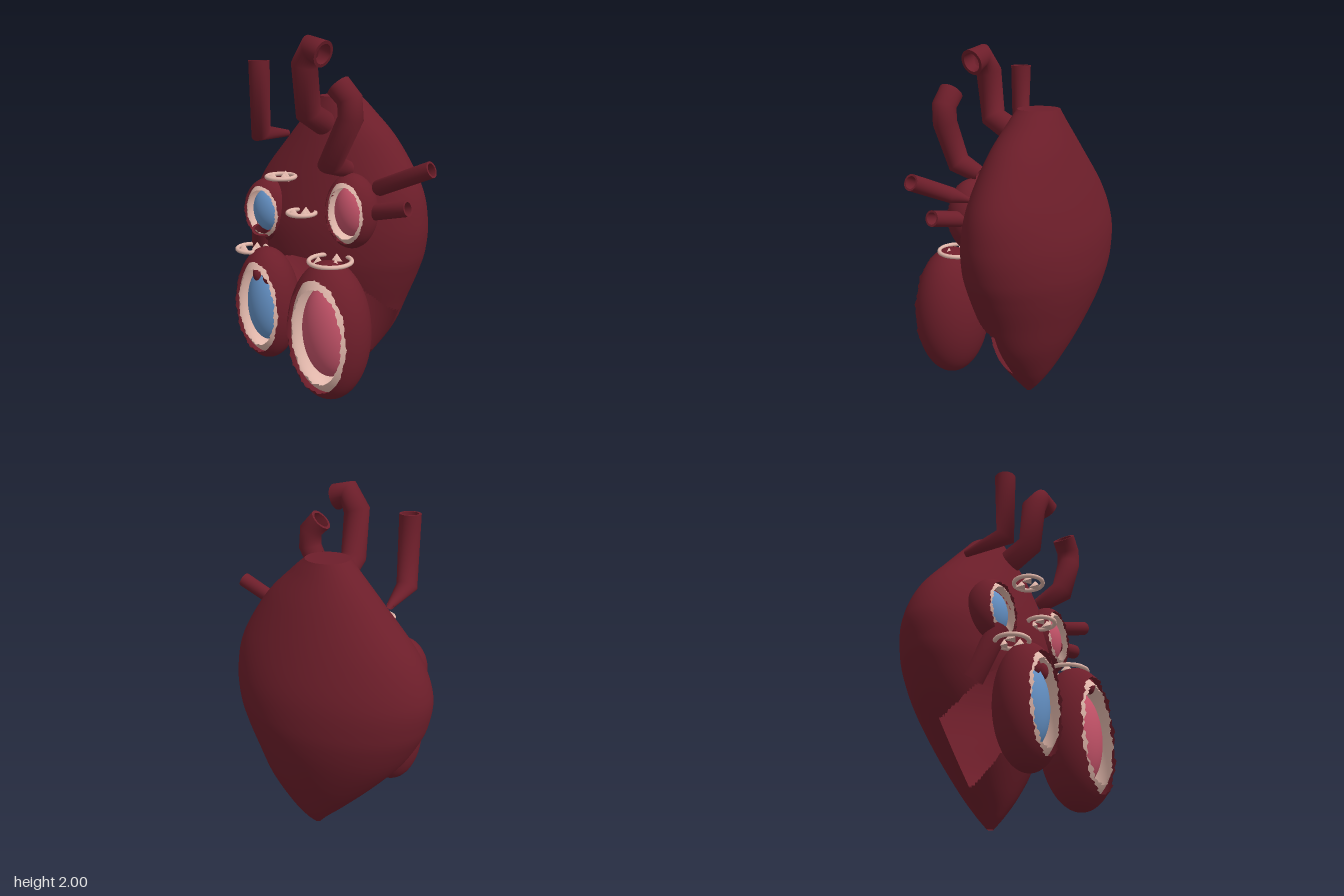
import * as THREE from 'three';

const mat = (name, color) => {
  const m = new THREE.MeshStandardMaterial({ color, side: THREE.DoubleSide });
  m.name = name;
  return m;
};

// Polyline path whose rings sit only on its corner points, giving mitred bends
class BentPath extends THREE.Curve {
  constructor(points) { super(); this.points = points; }
  getPoint(t, out = new THREE.Vector3()) {
    const n = this.points.length - 1, i = Math.min(Math.floor(t * n + 1e-6), n - 1);
    return out.lerpVectors(this.points[i], this.points[i + 1], t * n - i);
  }
  getPointAt(t, out) { return this.getPoint(t, out); }
  getTangentAt(t, out = new THREE.Vector3()) {
    const p = this.points, i = Math.round(t * (p.length - 1));
    out.set(0, 0, 0);
    if (i > 0) out.add(p[i].clone().sub(p[i - 1]).normalize());
    if (i < p.length - 1) out.add(p[i + 1].clone().sub(p[i]).normalize());
    return out.normalize();
  }
}

export function createModel() {
  const muscle = mat('muscle red', 0x6d1e2a);
  const lining = mat('pale lining', 0xe0b6aa);
  const blue = mat('blue chamber', 0x6592c6);
  const pink = mat('pink chamber', 0xc6546a);

  const model = new THREE.Group();
  model.name = 'heart';
  const add = (parent, name, geometry, material, pos = [0, 0, 0], scale = [1, 1, 1]) => {
    const mesh = new THREE.Mesh(geometry, material);
    mesh.name = name;
    mesh.position.set(...pos);
    mesh.scale.set(...scale);
    parent.add(mesh);
    return mesh;
  };

  // Chambers: centre, half sizes, colour of the core
  const chambers = [
    { name: 'leftVentricle', c: [0.167, 0.463, 0.333], s: [0.236, 0.393, 0.206], core: pink },
    { name: 'rightVentricle', c: [-0.288, 0.51, 0.3], s: [0.19, 0.333, 0.172], core: blue },
    { name: 'leftAtrium', c: [0.187, 1.09, 0.15], s: [0.148, 0.205, 0.13], core: pink },
    { name: 'rightAtrium', c: [-0.39, 1.015, 0.15], s: [0.154, 0.187, 0.125], core: blue },
  ];

  // Body outline, tip to top: y, right edge, left edge, half depth
  const outline = [
    [0, -0.02, 0.02, 0.015], [0.07, -0.08, 0.08, 0.075], [0.18, -0.19, 0.17, 0.145],
    [0.36, -0.36, 0.29, 0.23], [0.55, -0.52, 0.37, 0.295], [0.7, -0.61, 0.43, 0.333],
    [0.83, -0.66, 0.47, 0.347], [1.0, -0.672, 0.482, 0.337], [1.2, -0.59, 0.44, 0.288],
    [1.44, -0.39, 0.29, 0.21], [1.6, -0.25, 0.13, 0.145], [1.67, -0.19, 0.05, 0.115],
  ];
  const bodyZ = -0.113, rows = 150, cols = 160;
  const edges = new THREE.CatmullRomCurve3(outline.map(o => new THREE.Vector3(o[1], o[0], o[2])), false, 'catmullrom');
  const depths = new THREE.CatmullRomCurve3(outline.map(o => new THREE.Vector3(o[3], o[0], 0)), false, 'catmullrom');
  const pos = [], index = [];
  for (let j = 0; j <= rows; j++) {
    const e = edges.getPoint(j / rows), d = depths.getPoint(j / rows).x;
    for (let i = 0; i < cols; i++) {
      const a = i / cols * Math.PI * 2;
      pos.push((e.x + e.z) / 2 + (e.z - e.x) / 2 * Math.cos(a), e.y, bodyZ + d * Math.sin(a));
    }
  }
  // Openings: a wide one behind the ventricles and one inside each atrium
  const isOpen = (x, y, z) => {
    const f = z - bodyZ;
    if (f <= 0) return false;
    if (y > 0.18 + 0.25 * f + 3 * f * f && y < 0.47 + 0.3 * f + 1.9 * f * f) return true;
    return chambers.slice(2).some(({ c, s }) => Math.hypot((x - c[0]) / s[0], (y - c[1]) / s[1]) < 0.84);
  };
  const face = (a, b, c) => {
    const mid = n => (pos[a * 3 + n] + pos[b * 3 + n] + pos[c * 3 + n]) / 3;
    if (!isOpen(mid(0), mid(1), mid(2))) index.push(a, b, c);
  };
  for (let j = 0; j < rows; j++) for (let i = 0; i < cols; i++) {
    const a = j * cols + i, b = j * cols + (i + 1) % cols;
    face(a, a + cols, b);
    face(b, a + cols, b + cols);
  }
  const bodyGeo = new THREE.BufferGeometry();
  bodyGeo.setAttribute('position', new THREE.Float32BufferAttribute(pos, 3));
  bodyGeo.setIndex(index);
  bodyGeo.computeVertexNormals();
  add(model, 'body', bodyGeo, muscle);
  add(model, 'bodyTop', new THREE.CircleGeometry(0.12, 48).rotateX(-Math.PI / 2), muscle,
    [-0.07, 1.67, bodyZ], [1, 1, 0.96]);

  // Round shell cut open at the front with a ragged edge
  const shell = (radius, phase) => {
    const start = Math.acos(0.59 / radius), profile = [];
    for (let i = 0; i <= 28; i++) {
      const t = start + (Math.PI - start) * i / 28;
      profile.push(new THREE.Vector2(Math.max(Math.sin(t), 0) * radius, Math.cos(t) * radius));
    }
    const g = new THREE.LatheGeometry(profile, 96);
    const p = g.attributes.position;
    for (let i = 0; i <= 96; i++) {
      const v = i * profile.length, k = i % 96 + phase;
      p.setY(v, p.getY(v) + 0.06 * Math.sin(k * 2.4) * Math.sin(k * 1.7));
    }
    return g.rotateX(Math.PI / 2);
  };
  const wallGeo = shell(1, 0), liningGeo = shell(0.9, 31);
  const coreGeo = new THREE.SphereGeometry(1, 48, 32);
  for (const { name, c, s, core } of chambers) {
    const g = new THREE.Group();
    g.name = name;
    g.position.set(...c);
    g.scale.set(...s);
    add(g, 'wall', wallGeo, muscle);
    add(g, 'lining', liningGeo, lining);
    add(g, 'core', coreGeo, core, [0, 0, 0], [0.67, 0.67, 0.58]);
    model.add(g);
  }

  // Small muscles hanging in the ventricles
  const bud = new THREE.SphereGeometry(1, 20, 14);
  for (const [x, y, z] of [[-0.31, 0.695, 0.355], [-0.237, 0.695, 0.355], [0.13, 0.755, 0.395], [0.207, 0.755, 0.395]])
    add(model, 'papillaryMuscle', bud, muscle, [x, y, z], [0.028, 0.045, 0.03]);

  // Vessels: hollow bent tubes from base to open end; taper narrows the base
  const vessel = (name, r, taper, pts) => {
    const path = new BentPath(pts.map(p => new THREE.Vector3(...p)));
    const g = new THREE.Group();
    g.name = name;
    for (const [part, k] of [['outside', 1], ['inside', 0.75]]) {
      const tube = new THREE.TubeGeometry(path, pts.length - 1, r * k, 32);
      const p = tube.attributes.position, v = new THREE.Vector3();
      for (let i = 0; i <= 32; i++) {
        v.fromBufferAttribute(p, i).sub(path.points[0]).multiplyScalar(taper).add(path.points[0]);
        p.setXYZ(i, v.x, v.y, v.z);
      }
      add(g, part, tube, muscle);
    }
    const lip = add(g, 'lip', new THREE.RingGeometry(r * 0.75, r, 32), muscle, pts[pts.length - 1]);
    lip.quaternion.setFromUnitVectors(new THREE.Vector3(0, 0, 1), path.getTangentAt(1));
    model.add(g);
  };
  vessel('aorta', 0.071, 1, [[-0.065, 1.5, -0.01], [-0.065, 1.6, 0.19], [-0.065, 1.85, 0.22], [-0.01, 1.932, 0.23], [0.068, 1.905, 0.235]]);
  vessel('superiorVenaCava', 0.058, 0.35, [[-0.39, 1.44, -0.03], [-0.375, 1.47, 0.22], [-0.375, 1.865, 0.22]]);
  vessel('pulmonaryArtery', 0.066, 0.7, [[0.14, 1.31, 0.13], [0.14, 1.36, 0.28], [0.258, 1.6, 0.27], [0.255, 1.69, 0.275], [0.19, 1.757, 0.28]]);
  vessel('upperPulmonaryVein', 0.043, 0.25, [[0.33, 1.22, 0.04], [0.36, 1.24, 0.15], [0.655, 1.367, 0.155]]);
  vessel('lowerPulmonaryVein', 0.043, 1, [[0.27, 1.09, 0.1], [0.32, 1.1, 0.14], [0.525, 1.152, 0.145]]);
  vessel('inferiorVenaCava', 0.056, 1, [[-0.45, 0.64, 0.08], [-0.44, 0.8, 0.17], [-0.405, 0.905, 0.205]]);

  // Valves: level rings with three small leaflets each
  const valve = (name, c, r) => {
    const g = new THREE.Group();
    g.name = name;
    g.position.set(...c);
    add(g, 'ring', new THREE.TorusGeometry(r, 0.012, 10, 48).rotateX(Math.PI / 2), lining);
    for (let i = 0; i < 3; i++) {
      const a = i / 3 * Math.PI * 2 + 0.5;
      const leaf = add(g, 'leaflet', new THREE.ConeGeometry(0.036, 0.04, 3), lining,
        [Math.cos(a) * r * 0.55, 0.006, Math.sin(a) * r * 0.55]);
      leaf.rotation.y = -a;
    }
    model.add(g);
  };
  valve('aorticValve', [-0.205, 1.25, 0.26], 0.078);
  valve('pulmonaryValve', [-0.07, 1.065, 0.255], 0.076);
  valve('mitralValve', [0.145, 0.84, 0.29], 0.115);
  valve('tricuspidValve', [-0.41, 0.81, 0.285], 0.085);

  return model;
}
